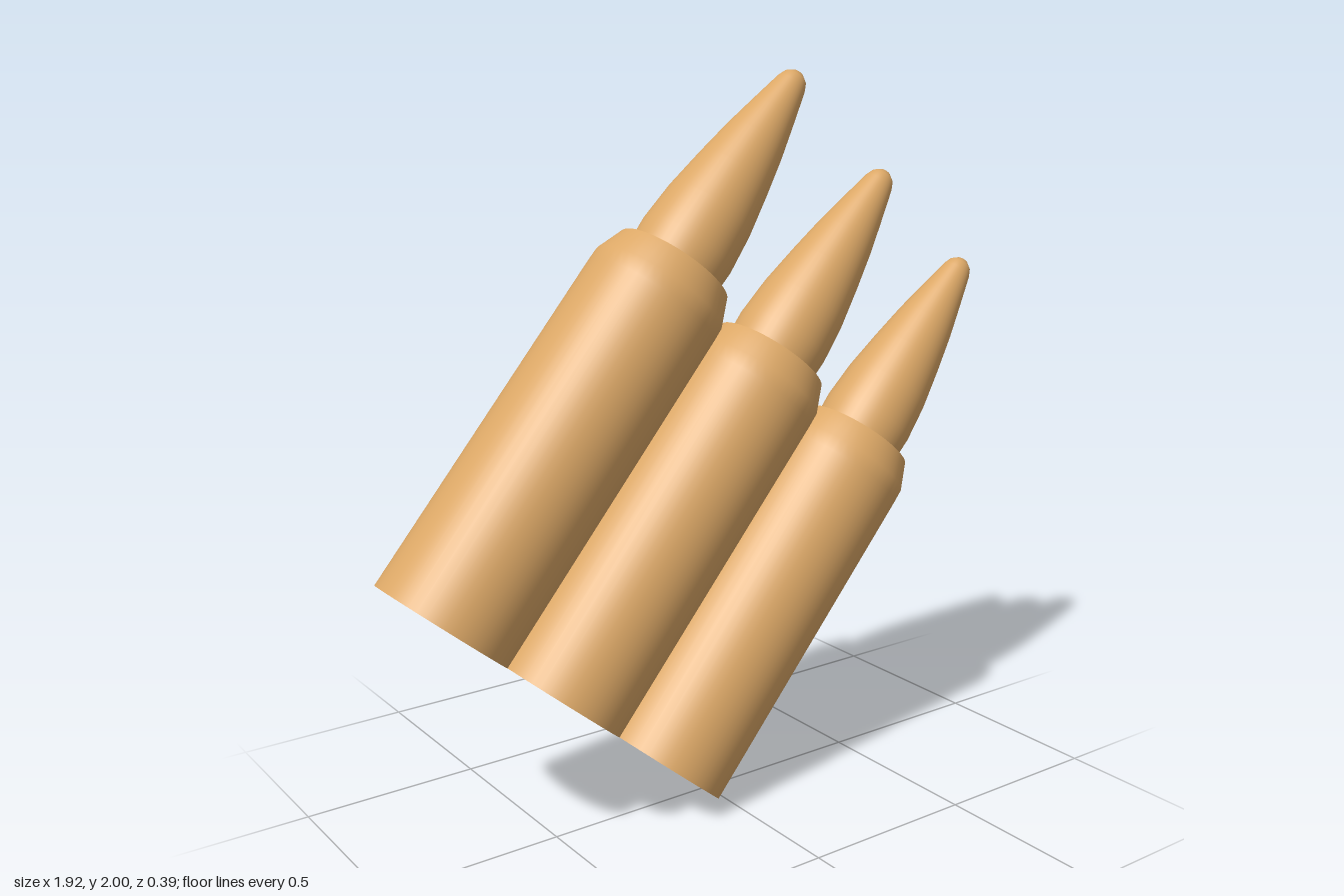
import * as THREE from 'three';

const SEGMENTS = 48;

export function createModel() {
  const group = new THREE.Group();
  group.name = 'cartridges';

  const brass = new THREE.MeshStandardMaterial({ color: 0xdba766 });
  brass.name = 'brass';

  // Smooth surface of revolution from [radius, height] pairs, bottom to top
  const lathe = (profile) =>
    new THREE.LatheGeometry(profile.map(([r, y]) => new THREE.Vector2(r, y)), SEGMENTS);

  // Straight case with a tapered shoulder
  const caseGeometry = lathe([[0.193, 0], [0.193, 0.98], [0.192, 1.02], [0.163, 1.095]]);

  // Flat base and flat mouth ring, with their own normals for crisp edges
  const baseGeometry = new THREE.CircleGeometry(0.193, SEGMENTS).rotateX(Math.PI / 2);
  const mouthGeometry = new THREE.RingGeometry(0.12, 0.163, SEGMENTS)
    .rotateX(-Math.PI / 2).translate(0, 1.095, 0);

  // Pointed tip with a small blunt nose
  const tipGeometry = lathe([
    [0.131, 1.09], [0.134, 1.16], [0.125, 1.27], [0.106, 1.39], [0.086, 1.5],
    [0.066, 1.59], [0.043, 1.69], [0.034, 1.712], [0.017, 1.727], [0, 1.73],
  ]);

  const parts = {
    case: caseGeometry, base: baseGeometry, mouthRing: mouthGeometry, tip: tipGeometry,
  };

  // Three leaning side by side, stepping down to the right
  for (let i = 0; i < 3; i++) {
    const cartridge = new THREE.Group();
    cartridge.name = `cartridge${i + 1}`;
    for (const [name, geometry] of Object.entries(parts)) {
      const mesh = new THREE.Mesh(geometry, brass);
      mesh.name = name;
      cartridge.add(mesh);
    }
    cartridge.position.set(-0.81 + 0.3235 * i, 0.672 - 0.2735 * i, 0);
    cartridge.rotation.z = THREE.MathUtils.degToRad(-40);
    group.add(cartridge);
  }
  return group;
}
